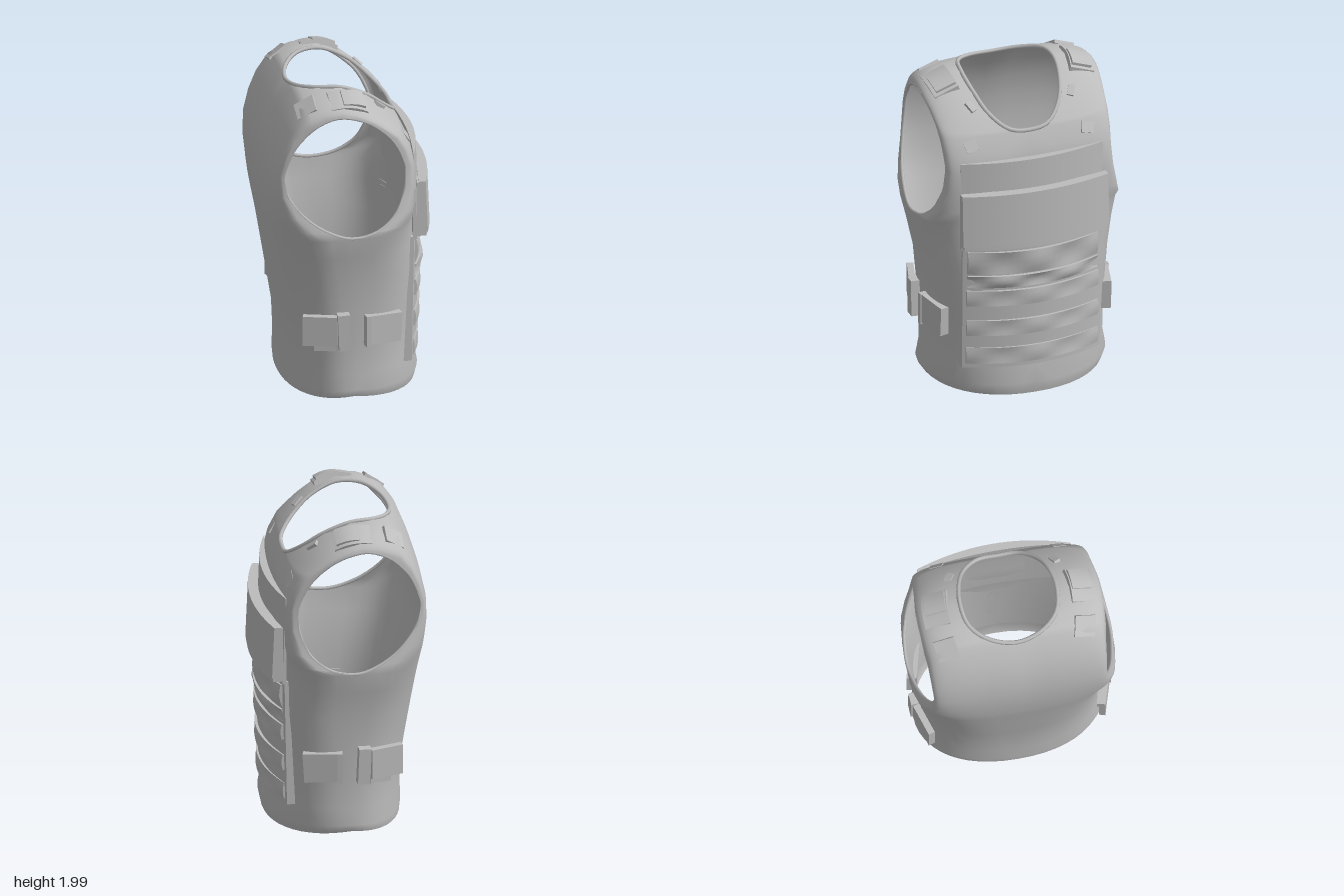
import * as THREE from 'three';
import { mergeVertices } from 'three/addons/utils/BufferGeometryUtils.js';

const fabric = new THREE.MeshStandardMaterial({ color: 0xbcbcbc, side: THREE.DoubleSide });
fabric.name = 'grey fabric';

// Each row runs from the centre line or neck edge to the side seam or armhole edge:
// [inner x, y, z,  outer x, y, z]
const frontRows = [
  [0.435, 0.005, 0, -0.04, 0.055, 0.56],
  [0.45, 0.08, 0, -0.03, 0.1, 0.577],
  [0.425, 0.2, 0, -0.02, 0.2, 0.555],
  [0.42, 0.4, 0, -0.02, 0.4, 0.555],
  [0.42, 0.6, 0, -0.02, 0.6, 0.56],
  [0.42, 0.8, 0, -0.02, 0.8, 0.57],
  [0.4, 0.98, 0, -0.05, 0.98, 0.6],
  [0.39, 1.1, 0, -0.06, 1.115, 0.627],
  [0.385, 1.18, 0, 0.1, 1.14, 0.615],
  [0.385, 1.25, 0, 0.22, 1.23, 0.58],
  [0.385, 1.38, 0, 0.285, 1.38, 0.54],
  [0.38, 1.5, 0, 0.29, 1.52, 0.525],
  [0.36, 1.6, 0, 0.25, 1.63, 0.53],
  [0.31, 1.7, 0, 0.2, 1.71, 0.535],
  [0.3, 1.72, 0.12, 0.14, 1.77, 0.54],
  [0.22, 1.8, 0.22, 0.06, 1.83, 0.55],
  [0.1, 1.9, 0.275, -0.03, 1.87, 0.56],
];
const shoulderRow = [-0.06, 1.97, 0.295, -0.12, 1.885, 0.56];
const backRows = [
  [-0.385, 0.02, 0], [-0.39, 0.08, 0], [-0.385, 0.2, 0], [-0.39, 0.4, 0],
  [-0.42, 0.6, 0], [-0.45, 0.8, 0], [-0.475, 0.98, 0], [-0.495, 1.1, 0],
].map((p, i) => [...p, ...frontRows[i].slice(3)]).concat([
  [-0.505, 1.18, 0, -0.2, 1.16, 0.61],
  [-0.51, 1.26, 0, -0.33, 1.25, 0.58],
  [-0.515, 1.38, 0, -0.43, 1.38, 0.54],
  [-0.505, 1.52, 0, -0.455, 1.51, 0.525],
  [-0.475, 1.66, 0, -0.42, 1.63, 0.53],
  [-0.42, 1.8, 0, -0.38, 1.71, 0.535],
  [-0.335, 1.925, 0, -0.33, 1.77, 0.54],
  [-0.295, 1.945, 0.16, -0.28, 1.82, 0.55],
  [-0.2, 1.97, 0.265, -0.2, 1.865, 0.555],
]);
const rows = [...frontRows, shoulderRow, ...[...backRows].reverse()];

// Vest shell: rounded rows, oval at the hem and squarer at the chest, mirrored and welded
function shellGeometry() {
  const pos = [], idx = [], seg = 12, w = seg + 1;
  for (const side of [1, -1]) {
    const base = pos.length / 3;
    rows.forEach(([xi, yi, zi, xa, ya, za], r) => {
      const e = 0.6 + 1.2 * zi + 0.32 * Math.max(0, 1 - yi / 1.15);
      for (let s = 0; s <= seg; s++) {
        const a = (s / seg) * Math.PI / 2;
        const u = s === seg ? 1 : Math.sin(a) ** e;
        const v = s === seg ? 1 : 1 - Math.cos(a) ** e;
        pos.push(xi + (xa - xi) * v, yi + (ya - yi) * v, side * (zi + (za - zi) * u));
        if (r < rows.length - 1 && s < seg) {
          const i = base + r * w + s;
          const q = [i, i + w, i + 1, i + 1, i + w, i + w + 1];
          idx.push(...(side > 0 ? q : q.reverse()));
        }
      }
    });
  }
  const g = new THREE.BufferGeometry();
  g.setAttribute('position', new THREE.Float32BufferAttribute(pos, 3));
  g.setIndex(idx);
  const welded = mergeVertices(g, 1e-4);
  welded.computeVertexNormals();
  return welded;
}

// Panel bent around the chest: front and back give x at the middle, each with its own bend
function curvedPanel({ y0, y1, half, front, top = front, bend, back, backBend, backBendTop = backBend, wave = 0 }) {
  const g = new THREE.BoxGeometry(1, y1 - y0, half * 2, 1, 4, 20);
  const p = g.attributes.position;
  for (let i = 0; i < p.count; i++) {
    const t = p.getY(i) / (y1 - y0) + 0.5, z = p.getZ(i), k = (z / half) ** 2;
    const ripple = wave * Math.cos(z * 15) * Math.sin(t * Math.PI);
    const x = p.getX(i) > 0
      ? front + (top - front) * t - bend * k + ripple
      : back - (backBend + (backBendTop - backBend) * t) * k;
    p.setXYZ(i, x, p.getY(i) + (y0 + y1) / 2, z);
  }
  g.computeVertexNormals();
  return g;
}

// Box arched along x to follow the shoulder
function archedBox(w, h, d) {
  const g = new THREE.BoxGeometry(w, h, d, 6, 1, 1);
  const p = g.attributes.position;
  for (let i = 0; i < p.count; i++) p.setY(i, p.getY(i) - 2 * p.getX(i) ** 2);
  g.computeVertexNormals();
  return g;
}

function edging(points, radius) {
  const curve = new THREE.CatmullRomCurve3(points, true);
  return new THREE.TubeGeometry(curve, 56, radius, 6, true);
}

export function createModel() {
  const vest = new THREE.Group();
  vest.name = 'vest';
  const add = (name, geometry, position = [0, 0, 0], rotation = [0, 0, 0]) => {
    const m = new THREE.Mesh(geometry, fabric);
    m.name = name;
    m.position.set(...position);
    m.rotation.set(...rotation);
    vest.add(m);
  };
  const box = (x, y, z) => new THREE.BoxGeometry(x, y, z);
  add('shell', shellGeometry());

  // Neck edging
  const neck = rows.slice(13, 21).map(([x, y, z]) => new THREE.Vector3(x, y, z));
  const otherSide = neck.slice(1, -1).reverse().map((p) => new THREE.Vector3(p.x, p.y, -p.z));
  add('neckEdging', edging([...neck, ...otherSide], 0.013));

  // Chest panel, pouch with flap, and lower panel
  add('chestPanel', curvedPanel({ y0: 1, y1: 1.565, half: 0.455, front: 0.455, top: 0.435, bend: 0.08, back: 0.39, backBend: 0.04 }));
  add('chestPouch', curvedPanel({ y0: 1.02, y1: 1.37, half: 0.455, front: 0.512, top: 0.5, bend: 0.08, back: 0.42, backBend: 0.05 }));
  add('pouchFlap', curvedPanel({ y0: 1.05, y1: 1.38, half: 0.465, front: 0.517, top: 0.503, bend: 0.078, back: 0.43, backBend: 0.05 }));
  add('lowerPanel', curvedPanel({ y0: 0.2, y1: 1.01, half: 0.44, front: 0.445, top: 0.46, bend: 0.1, back: 0.42, backBend: 0.125, backBendTop: 0.085 }));

  // Webbing rows, with two fuller folds above
  for (const [y0, y1, front] of [[0.23, 0.335, 0.46], [0.42, 0.52, 0.468], [0.62, 0.72, 0.474]]) {
    add('webbing', curvedPanel({ y0, y1, half: 0.42, front, bend: 0.1, back: 0.43, backBend: 0.09, wave: 0.008 }));
  }
  for (const [y0, y1, wave] of [[0.74, 0.82, -0.014], [0.83, 0.98, 0.014]]) {
    add('upperFold', curvedPanel({ y0, y1, half: 0.415, front: 0.47, top: 0.48, bend: 0.1, back: 0.43, backBend: 0.09, wave }));
  }

  for (const s of [1, -1]) {
    // Armhole edging
    const hole = rows.slice(7, 27).map((r) => new THREE.Vector3(r[3], r[4], s * (r[5] - 0.008)));
    add('armholeEdging', edging(hole, 0.01));

    // Side buckle: strap tab, clasp and front block
    add('buckleTab', box(0.205, 0.19, 0.04), [-0.24, 0.5, s * 0.548], [0, s * -0.3, 0]);
    add('buckleClasp', box(0.075, 0.23, 0.06), [-0.1, 0.495, s * 0.58], [0, s * -0.05, 0.04]);
    add('buckleBlock', box(0.225, 0.185, 0.06), [0.145, 0.485, s * 0.543], [0, s * 0.25, -0.06]);
    add('buckleRib', box(0.03, 0.2, 0.06), [0.045, 0.485, s * 0.572], [0, s * 0.15, 0]);
    add('strapEnd', box(0.13, 0.05, 0.03), [-0.205, 0.385, s * 0.53], [0, s * -0.25, 0]);

    // Shoulder pad with a raised centre
    add('shoulderPad', archedBox(0.23, 0.03, 0.16), [-0.045, 1.945, s * 0.445], [s * 0.34, 0, -0.17]);
    add('shoulderLoop', archedBox(0.14, 0.03, 0.13), [-0.015, 1.953, s * 0.44], [s * 0.34, 0, -0.22]);

    // Rear strap plate
    add('rearLoop', box(0.13, 0.02, 0.13), [-0.3, 1.91, s * 0.42], [s * 0.34, 0, 0.6]);

    // Small front keepers
    add('collarKeeper', box(0.07, 0.03, 0.04), [0.17, 1.84, s * 0.32], [s * 0.2, s * 0.4, -0.75]);
    add('chestKeeper', box(0.07, 0.025, 0.08), [0.315, 1.655, s * 0.37], [s * 0.25, 0, -1.0]);
  }
  return vest;
}
